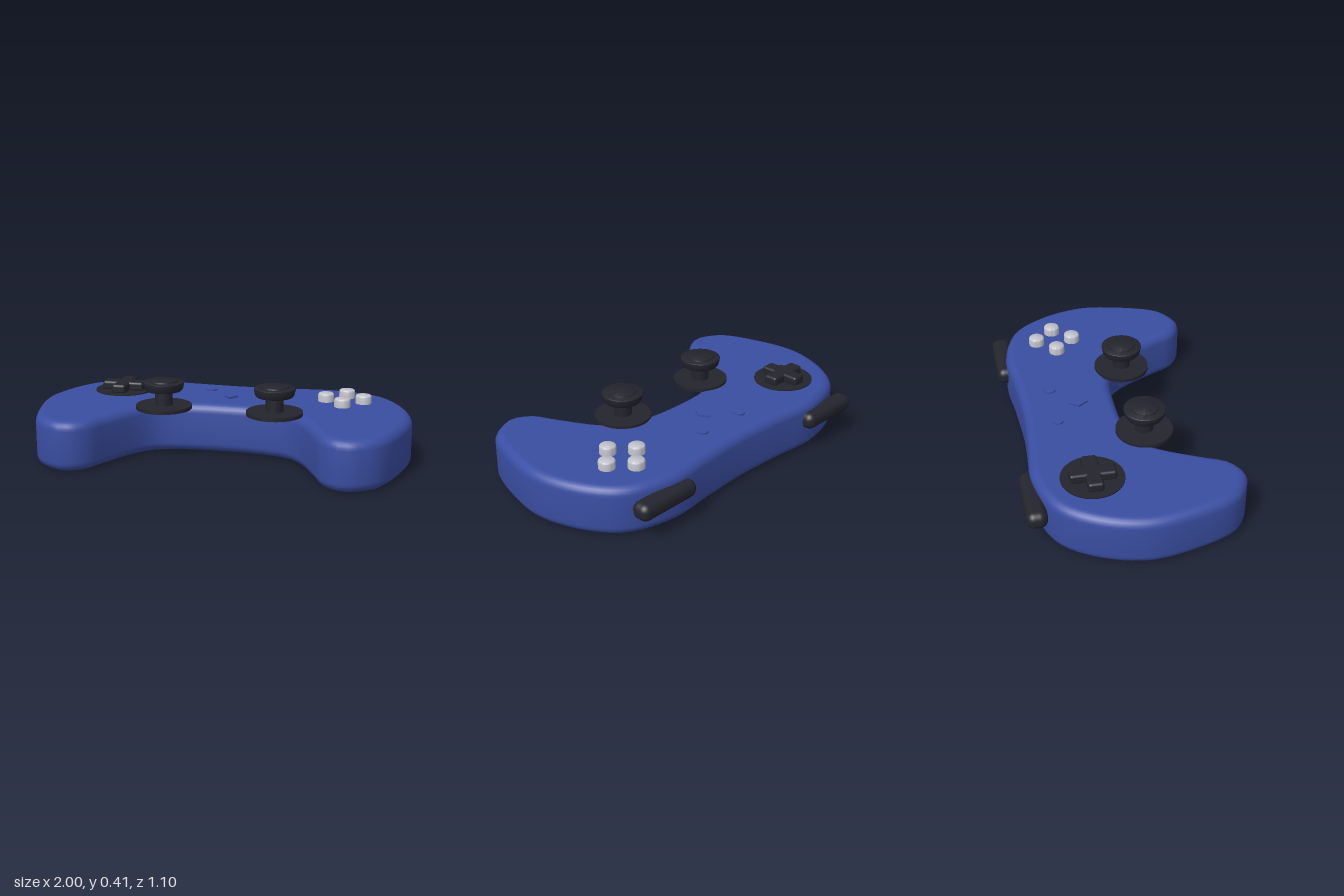
import * as THREE from 'three';
import { toCreasedNormals } from 'three/addons/utils/BufferGeometryUtils.js';
import { RoundedBoxGeometry } from 'three/addons/geometries/RoundedBoxGeometry.js';

const TOP = 0.265; // height of the flat upper face

const material = (name, color) => {
  const m = new THREE.MeshStandardMaterial({ color });
  m.name = name;
  return m;
};

function add(parent, name, geometry, mat, x = 0, y = 0, z = 0) {
  const mesh = new THREE.Mesh(geometry, mat);
  mesh.name = name;
  mesh.position.set(x, y, z);
  parent.add(mesh);
  return mesh;
}

// Turned part from [radius, height] pairs, with crisp corners
function turned(profile, sides = 48) {
  const points = profile.map(([r, y]) => new THREE.Vector2(r, y));
  return toCreasedNormals(new THREE.LatheGeometry(points, sides), 0.7);
}

// Shell: mirrored spline outline, extruded upward with rounded rims
function bodyGeometry() {
  const half = [ // x, z from the middle of the back round to the grip and inner edge
    [0.29, -0.482], [0.535, -0.498], [0.79, -0.42], [0.925, -0.25], [0.998, 0],
    [0.96, 0.25], [0.88, 0.455], [0.805, 0.515], [0.71, 0.546], [0.6, 0.485],
    [0.545, 0.375], [0.43, 0.16], [0.345, 0.075], [0.165, 0.032],
  ];
  const loop = [[0, -0.468], ...half, [0, 0.025],
    ...half.map(([x, z]) => [-x, z]).reverse()];
  const curve = new THREE.CatmullRomCurve3(
    loop.map(([x, z]) => new THREE.Vector3(x, -z, 0)), true, 'centripetal');
  const outline = curve.getSpacedPoints(112).slice(0, -1)
    .map((p) => new THREE.Vector2(p.x, p.y));
  const r = 0.05;
  let geo = new THREE.ExtrudeGeometry(new THREE.Shape(outline), {
    depth: TOP - 2 * r, bevelThickness: r, bevelSize: r, bevelOffset: -r, bevelSegments: 6,
  });
  geo.rotateX(-Math.PI / 2).translate(0, r, 0);
  geo = toCreasedNormals(geo, 0.9);
  // Keep the broad top and bottom faces evenly flat
  const { position, normal } = geo.attributes;
  for (let i = 0; i < position.count; i++) {
    const y = position.getY(i);
    if (y > TOP - 1e-4) normal.setXYZ(i, 0, 1, 0);
    else if (y < 1e-4) normal.setXYZ(i, 0, -1, 0);
  }
  return geo;
}

export function createModel() {
  const model = new THREE.Group();
  model.name = 'gameController';
  const blue = material('shell blue', 0x3a4ea2);
  const dark = material('charcoal', 0x24252d);
  const grey = material('button grey', 0xc2c2cc);

  add(model, 'body', bodyGeometry(), blue);

  // Thumbsticks and shoulder buttons, one pair per side
  const stickBase = turned([[0, -0.005], [0.148, -0.005], [0.148, 0.014], [0, 0.014]]);
  const stickNeck = turned([[0.047, 0], [0.047, 0.1]], 32);
  const stickCap = turned([[0, 0.093], [0.095, 0.093], [0.103, 0.105], [0.108, 0.13],
    [0.108, 0.137], [0.104, 0.14], [0.073, 0.14], [0.071, 0.147], [0.068, 0.149], [0, 0.149]]);
  const shoulder = new RoundedBoxGeometry(0.365, 0.092, 0.105, 5, 0.04);
  for (const [side, s] of [['left', 1], ['right', -1]]) {
    const stick = new THREE.Group();
    stick.name = side + 'Thumbstick';
    stick.position.set(s * 0.298, TOP, 0.12);
    model.add(stick);
    add(stick, 'stickBase', stickBase, dark);
    add(stick, 'stickNeck', stickNeck, dark);
    add(stick, 'stickCap', stickCap, dark);
    add(model, side + 'ShoulderButton', shoulder, dark, s * 0.623, 0.17, -0.502);
  }

  // Direction pad: thin disc with two crossing bars
  const pad = new THREE.Group();
  pad.name = 'directionPad';
  pad.position.set(-0.625, TOP, -0.208);
  model.add(pad);
  add(pad, 'padDisc', turned([[0, -0.005], [0.16, -0.005], [0.16, 0.006], [0, 0.006]]), dark);
  const bar = new RoundedBoxGeometry(0.235, 0.052, 0.08, 4, 0.015);
  add(pad, 'padBarAcross', bar, dark, 0, 0.026, 0);
  add(pad, 'padBarAlong', bar, dark, 0, 0.026, 0).rotation.y = Math.PI / 2;

  // Four face buttons in a diamond
  const button = turned([[0.043, -0.005], [0.043, 0.036], [0.041, 0.042], [0.036, 0.046], [0, 0.047]], 32);
  for (let i = 0; i < 4; i++) {
    const a = (i * Math.PI) / 2;
    add(model, 'faceButton', button, grey, 0.62 + 0.101 * Math.cos(a), TOP, -0.208 + 0.101 * Math.sin(a));
  }

  // Small centre buttons
  const small = turned([[0.03, -0.004], [0.03, 0.009], [0, 0.009]], 32);
  for (const s of [1, -1]) add(model, 'menuButton', small, blue, s * 0.142, TOP, -0.304);
  const diamond = add(model, 'centreDiamond',
    turned([[0.05, -0.004], [0.05, 0.011], [0, 0.011]], 4), blue, 0, TOP, -0.174);
  diamond.scale.set(0.74, 1, 1.06);

  return model;
}
